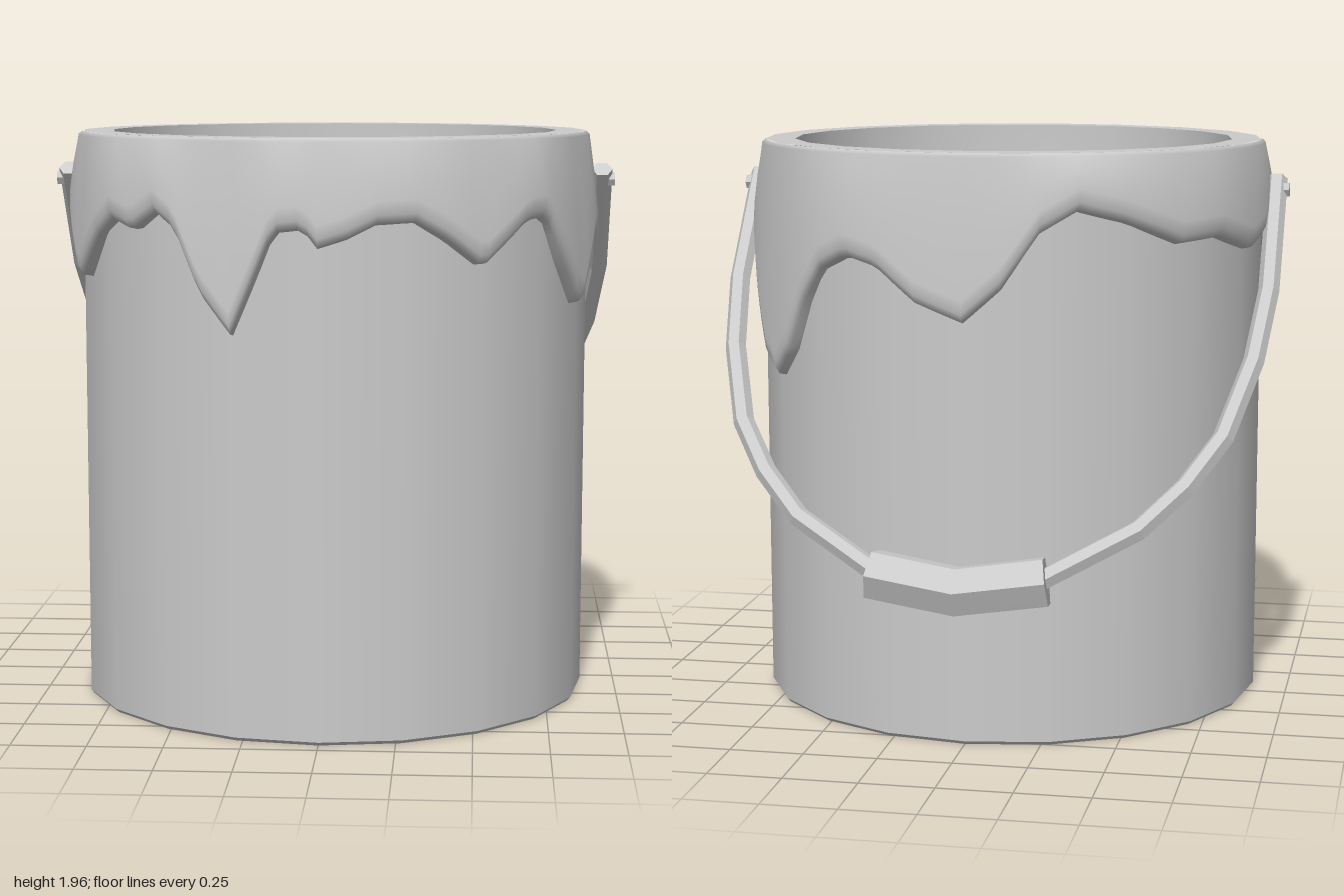
import * as THREE from 'three';

const CZ = 0.075;      // bucket axis in z
const R = 0.88;        // bucket radius
const H = 1.96;        // bucket height
const SIDES = 20;

const mat = (opts = {}) => new THREE.MeshStandardMaterial({ color: 0xcccccc, ...opts });

function lathe(name, profile) {
  const pts = profile.map(([r, y]) => new THREE.Vector2(r, y));
  const mesh = new THREE.Mesh(new THREE.LatheGeometry(pts, SIDES), mat());
  mesh.name = name;
  return mesh;
}

// Lower edge of the paint: angle from the front (towards +x) in degrees, height
const DRIPS = [
  [0, 1.61], [6, 1.64], [12, 1.685], [20, 1.69], [27, 1.63], [35, 1.54], [41, 1.61], [47, 1.68],
  [53, 1.69], [60, 1.54], [69, 1.37], [75, 1.5], [80, 1.6], [85, 1.6], [90, 1.56], [95, 1.59],
  [102, 1.65], [108, 1.55], [115, 1.39], [122, 1.22], [128, 1.17], [134, 1.27], [140, 1.44],
  [146, 1.56], [153, 1.61], [161, 1.58], [170, 1.47], [180, 1.41], [188, 1.52], [196, 1.7],
  [204, 1.77], [214, 1.73], [228, 1.65], [240, 1.66], [253, 1.6], [264, 1.65], [276, 1.68],
  [284, 1.6], [293, 1.46], [304, 1.62], [310, 1.68], [317, 1.65], [324, 1.71], [329, 1.66],
  [335, 1.46], [342, 1.33], [347, 1.51], [351, 1.66], [357, 1.67], [360, 1.61],
];

function dripHeight(deg) {
  const i = Math.max(1, DRIPS.findIndex(([a]) => a >= deg));
  const [a0, y0] = DRIPS[i - 1], [a1, y1] = DRIPS[i];
  return THREE.MathUtils.lerp(y0, y1, (deg - a0) / (a1 - a0));
}

// Paint skin: a ring of columns that swells towards its dripping edge
function paintGeometry() {
  const cols = 180;
  const pos = [], index = [];
  const section = (e) => [
    [0.872, H], [0.886, H - 0.012], [0.907, H - 0.55 * (H - e - 0.08)],
    [0.92, e + 0.08], [0.918, e + 0.035], [0.902, e + 0.008], [0.862, e],
  ];
  const rows = section(1).length;
  for (let c = 0; c < cols; c++) {
    const deg = (c / cols) * 360, a = THREE.MathUtils.degToRad(deg);
    for (const [r, y] of section(dripHeight(deg))) pos.push(r * Math.sin(a), y, r * Math.cos(a));
  }
  for (let c = 0; c < cols; c++) {
    const n = (c + 1) % cols;
    for (let k = 0; k < rows - 1; k++) {
      const p = c * rows + k, q = n * rows + k;
      index.push(p, p + 1, q + 1, p, q + 1, q);
    }
  }
  const geo = new THREE.BufferGeometry();
  geo.setAttribute('position', new THREE.Float32BufferAttribute(pos, 3));
  geo.setIndex(index);
  geo.computeVertexNormals();
  return geo;
}

// Handle plane: height follows z along a straight slope
const SLOPE = 1.28;
const onHandle = ([x, z]) => new THREE.Vector3(x, 1.8 - SLOPE * (0.06 - z), z);
const PLANE_NORMAL = new THREE.Vector3(0, 1, -SLOPE).normalize();

// Sweeps a regular polygon along a path in the handle plane, with capped ends
function sweep(name, path, radius, sides) {
  const pts = path.map(onHandle), pos = [];
  const rings = pts.map((p, i) => {
    const t = pts[Math.min(i + 1, pts.length - 1)].clone().sub(pts[Math.max(i - 1, 0)]).normalize();
    const across = PLANE_NORMAL.clone().cross(t);
    return Array.from({ length: sides }, (_, j) => {
      const a = (j / sides) * Math.PI * 2;
      return p.clone().addScaledVector(across, radius * Math.cos(a))
        .addScaledVector(PLANE_NORMAL, radius * Math.sin(a));
    });
  });
  const tri = (...v) => v.forEach((q) => pos.push(q.x, q.y, q.z));
  const last = pts.length - 1;
  for (let j = 0; j < sides; j++) {
    const n = (j + 1) % sides;
    for (let i = 0; i < last; i++) {
      tri(rings[i][j], rings[i][n], rings[i + 1][n]);
      tri(rings[i][j], rings[i + 1][n], rings[i + 1][j]);
    }
    tri(pts[0], rings[0][n], rings[0][j]);
    tri(pts[last], rings[last][j], rings[last][n]);
  }
  const geo = new THREE.BufferGeometry();
  geo.setAttribute('position', new THREE.Float32BufferAttribute(pos, 3));
  geo.computeVertexNormals();
  const mesh = new THREE.Mesh(geo, mat({ flatShading: true }));
  mesh.name = name;
  return mesh;
}

export function createModel() {
  const model = new THREE.Group();
  model.name = 'paintBucket';

  // Bucket: separate lathes keep the rim and base edges sharp
  const bucket = new THREE.Group();
  bucket.name = 'bucket';
  bucket.position.z = CZ;
  bucket.add(
    lathe('base', [[0, 0], [R - 0.01, 0]]),
    lathe('baseBevel', [[R - 0.01, 0], [R, 0.012]]),
    lathe('outerWall', [[R, 0.012], [R, H - 0.02]]),
    lathe('rim', [[0.875, H], [0.772, H]]),
    lathe('interior', [[0.772, H], [0.772, 0.1], [0, 0.1]]),
  );
  const paint = new THREE.Mesh(paintGeometry(), mat());
  paint.name = 'drippingPaint';
  bucket.add(paint);
  model.add(bucket);

  // Handle: bent wire, thicker grip and two pivot pegs
  const handle = new THREE.Group();
  handle.name = 'handle';
  const half = [[0.932, 0.08], [0.932, -0.2], [0.9, -0.37], [0.82, -0.55], [0.71, -0.665],
    [0.57, -0.765], [0.28, -0.88]];
  const wire = [...half, [0, -0.91], ...half.map(([x, z]) => [-x, z]).reverse()];
  handle.add(sweep('wire', wire, 0.036, 6));
  handle.add(sweep('grip', [[0.29, -0.885], [0, -0.915], [-0.29, -0.885]], 0.088, 6));
  for (const side of [1, -1]) {
    const peg = new THREE.Mesh(new THREE.CylinderGeometry(0.026, 0.026, 0.12, 6), mat({ flatShading: true }));
    peg.name = side > 0 ? 'leftPeg' : 'rightPeg';
    peg.rotation.z = Math.PI / 2;
    peg.position.set(side * 0.917, 1.79, 0.055);
    handle.add(peg);
  }
  model.add(handle);
  return model;
}
